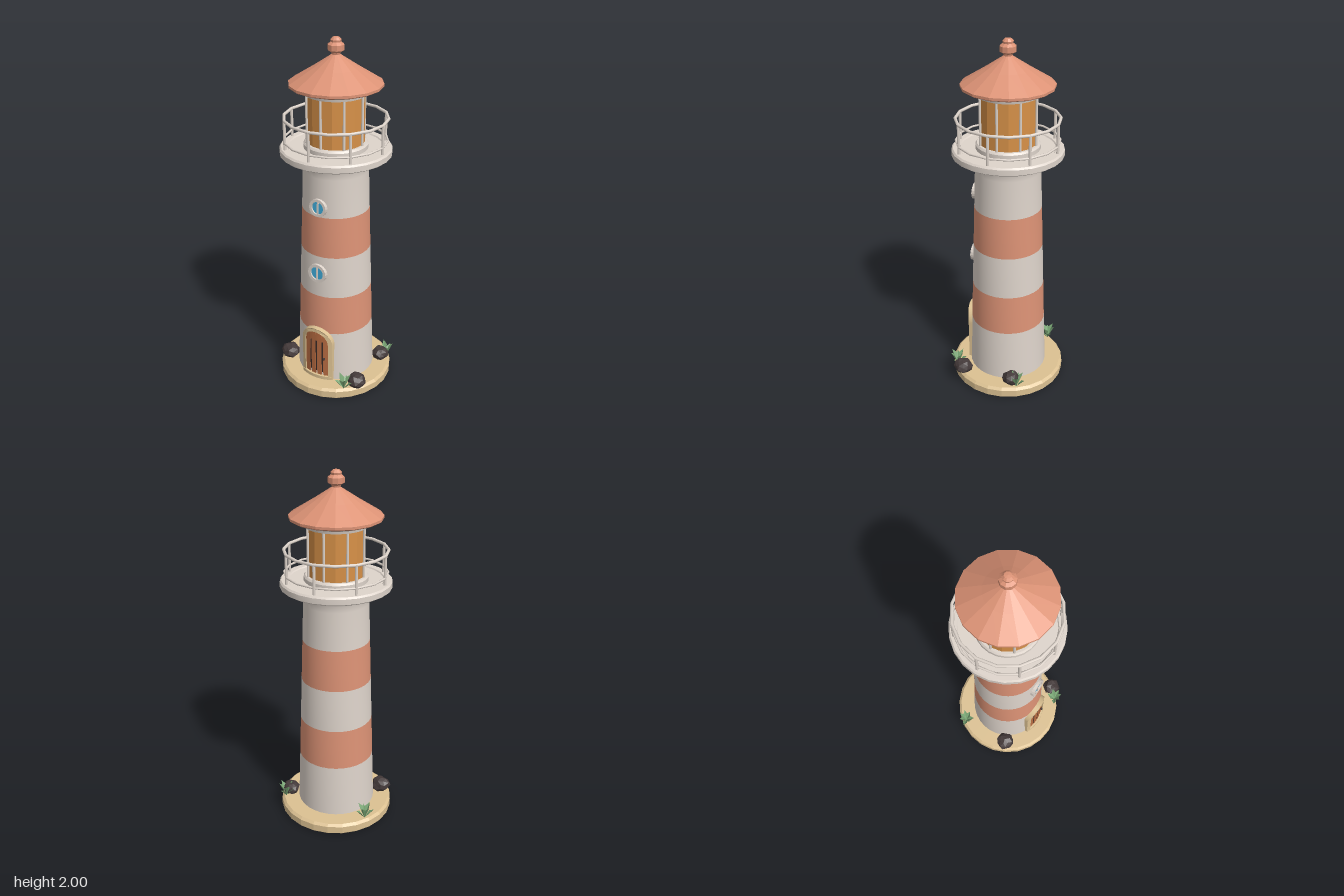
import * as THREE from 'three';
import { toCreasedNormals } from 'three/addons/utils/BufferGeometryUtils.js';

const mat = (name, color, side = THREE.FrontSide) => {
  const m = new THREE.MeshStandardMaterial({ color, side });
  m.name = name;
  return m;
};

const flat = (g) => {
  const f = g.index ? g.toNonIndexed() : g;
  f.computeVertexNormals();
  return f;
};

// Lathe from [radius, height] pairs, bottom to top
const lathe = (pts, sides) =>
  new THREE.LatheGeometry(pts.map(([r, y]) => new THREE.Vector2(r, y)), sides);
const smoothLathe = (pts, sides) => toCreasedNormals(lathe(pts, sides), 0.45);

const towerRadius = (y) => 0.222 - 0.036 * (y - 0.065);

// Wraps a flat panel around the tower wall
function wrap(g, R = 0.212) {
  const p = g.attributes.position;
  for (let i = 0; i < p.count; i++) {
    const x = p.getX(i);
    p.setZ(i, p.getZ(i) + Math.sqrt(R * R - x * x));
  }
  return flat(g);
}

function archPath(Type, w, y0, yc) {
  const s = new Type();
  s.moveTo(-w, y0);
  s.lineTo(w, y0);
  s.lineTo(w, yc);
  s.absarc(0, yc, w, 0, Math.PI, false);
  s.lineTo(-w, y0);
  return s;
}

// Folded kite-shaped leaf pointing along +z
function leafGeometry(len, rise, w) {
  const g = new THREE.BufferGeometry();
  g.setAttribute('position', new THREE.Float32BufferAttribute([
    0, 0, 0, -w, rise * 0.75, len * 0.5, 0, rise * 0.55, len * 0.55,
    w, rise * 0.75, len * 0.5, 0, rise, len], 3));
  g.setIndex([0, 2, 1, 0, 3, 2, 1, 2, 4, 2, 3, 4]);
  return flat(g);
}

export function createModel() {
  const white = mat('warm white', 0xded4cb);
  const coral = mat('coral', 0xdd9376);
  const sand = mat('sand stone', 0xdcc192);
  const amber = mat('amber glass', 0xd79148);
  const blue = mat('blue glass', 0x3fa9d6);
  const wood = mat('door wood', 0xb86c42);
  const dark = mat('dark iron', 0x3a2b27);
  const stone = mat('dark rock', 0x453b3b);
  const green = mat('leaf green', 0x7ba876, THREE.DoubleSide);

  const model = new THREE.Group();
  model.name = 'lighthouse';
  const add = (name, geo, material, parent = model) => {
    const m = new THREE.Mesh(geo, material);
    m.name = name;
    parent.add(m);
    return m;
  };
  const group = (name, parent = model) => {
    const g = new THREE.Group();
    g.name = name;
    parent.add(g);
    return g;
  };

  // Foundation
  add('foundation', flat(lathe([[0, 0], [0.315, 0], [0.325, 0.01], [0.325, 0.05],
    [0.311, 0.063], [0, 0.065]], 24)), sand);

  // Striped tower
  const tower = group('tower');
  const levels = [0.06, 0.37, 0.605, 0.85, 1.085, 1.3];
  for (let i = 0; i < 5; i++) {
    const pts = [levels[i], levels[i + 1]].map((y) => [towerRadius(y), y]);
    if (i === 4) pts.push([0.178, 1.335], [0.186, 1.355], [0.2, 1.37]);
    add(i % 2 ? 'towerStripe' : 'towerWall', smoothLathe(pts, 32), i % 2 ? coral : white, tower);
  }

  // Gallery deck
  add('galleryDeck', smoothLathe([[0.17, 1.352], [0.2, 1.354], [0.287, 1.384], [0.299, 1.392],
    [0.299, 1.421], [0.291, 1.43], [0.257, 1.43], [0.252, 1.424], [0, 1.424]], 24), white);

  // Railing
  const railing = group('railing');
  const railR = 0.274;
  for (const [y, r] of [[1.585, 0.0085], [1.465, 0.006]]) {
    const rail = add('rail', new THREE.TorusGeometry(railR, r, 8, 16), white, railing);
    rail.rotation.x = Math.PI / 2;
    rail.position.y = y;
  }
  for (let i = 0; i < 8; i++) {
    const a = (i * Math.PI) / 4;
    const post = add('railPost', new THREE.CylinderGeometry(0.008, 0.008, 0.165, 8), white, railing);
    post.position.set(Math.sin(a) * railR, 1.507, Math.cos(a) * railR);
  }

  // Lantern room
  const lantern = group('lanternRoom');
  add('lanternGlass', flat(lathe([[0.152, 1.44], [0.152, 1.73]], 16)), amber, lantern);
  add('lanternBase', smoothLathe([[0.172, 1.42], [0.172, 1.446], [0.164, 1.456], [0.15, 1.456]], 24), white, lantern);
  add('lanternTopRing', smoothLathe([[0.148, 1.715], [0.165, 1.715], [0.168, 1.728],
    [0.183, 1.745], [0.183, 1.758]], 24), white, lantern);
  for (let i = 0; i < 8; i++) {
    const a = (i * Math.PI) / 4;
    const bar = add('lanternBar', new THREE.CylinderGeometry(0.007, 0.007, 0.28, 8), white, lantern);
    bar.position.set(Math.sin(a) * 0.156, 1.585, Math.cos(a) * 0.156);
  }

  // Roof and finial
  add('roof', flat(lathe([[0, 1.757], [0.235, 1.75], [0.246, 1.757], [0.246, 1.77],
    [0.12, 1.848], [0.02, 1.914], [0, 1.92]], 16)), coral);
  add('finial', flat(lathe([[0.02, 1.905], [0.024, 1.922], [0.043, 1.934], [0.043, 1.962],
    [0.027, 1.975], [0.029, 1.986], [0.018, 1.998], [0, 2]], 10)), coral);

  // Arched door
  const door = group('door');
  const archY = 0.305;
  const frame = archPath(THREE.Shape, 0.098, 0.066, archY);
  frame.holes.push(archPath(THREE.Path, 0.075, 0.085, archY));
  const frameGeo = new THREE.ExtrudeGeometry(frame, { depth: 0.05, bevelEnabled: false, curveSegments: 16 });
  add('doorFrame', wrap(frameGeo.translate(0, 0, -0.025)), sand, door);
  add('doorSill', wrap(new THREE.BoxGeometry(0.19, 0.02, 0.05, 10, 1, 1).translate(0, 0.075, 0.002)), sand, door);
  for (let i = 0; i < 4; i++) {
    const x0 = -0.076 + i * 0.038 + (i ? 0.005 : 0);
    const x1 = -0.076 + (i + 1) * 0.038 - (i < 3 ? 0.005 : 0);
    const plank = new THREE.Shape();
    plank.moveTo(x0, 0.08);
    plank.lineTo(x1, 0.08);
    for (let k = 0; k <= 4; k++) {
      const x = x1 + ((x0 - x1) * k) / 4;
      plank.lineTo(x, archY + Math.sqrt(Math.max(0, 0.0767 ** 2 - x * x)));
    }
    const geo = new THREE.ExtrudeGeometry(plank, { depth: 0.035, bevelEnabled: false });
    add('doorPlank', wrap(geo.translate(0, 0, -0.02)), wood, door);
  }
  for (const x of [-0.038, 0, 0.038]) {
    add('doorGap', wrap(new THREE.BoxGeometry(0.011, 0.22, 0.008).translate(x, 0.215, 0.0085)), dark, door);
    add('doorGapTop', wrap(new THREE.BoxGeometry(0.011, 0.06, 0.02).translate(x, 0.345, 0.004)), wood, door);
  }
  const knob = add('doorKnob', new THREE.SphereGeometry(0.008, 8, 6), dark, door);
  knob.position.set(0.05, 0.205, 0.227);

  // Round windows
  for (const [y, r] of [[0.75, 0.055], [1.14, 0.05]]) {
    const win = group('roundWindow');
    win.position.set(0, y, towerRadius(y));
    win.rotation.x = -0.036;
    const s = new THREE.Shape().absarc(0, 0, r, 0, Math.PI * 2);
    s.holes.push(new THREE.Path().absarc(0, 0, r * 0.7, 0, Math.PI * 2));
    const ring = new THREE.ExtrudeGeometry(s, { depth: 0.03, bevelEnabled: false, curveSegments: 10 });
    add('windowRing', ring.translate(0, 0, -0.016), white, win);
    add('windowGlass', new THREE.CircleGeometry(r * 0.72, 20).translate(0, 0, 0.005), blue, win);
    add('windowBar', new THREE.BoxGeometry(0.008, r * 1.42, 0.008).translate(0, 0, 0.008), white, win);
  }

  // Rocks
  const rocks = [[-0.238, 0.13, 0.053, 0.3], [0.243, 0.187, 0.052, 1.4], [0.243, -0.115, 0.048, 2.5]];
  for (const [x, z, r, turn] of rocks) {
    const geo = new THREE.IcosahedronGeometry(1, 1);
    const p = geo.attributes.position;
    const v = new THREE.Vector3();
    for (let i = 0; i < p.count; i++) {
      v.fromBufferAttribute(p, i);
      v.multiplyScalar(1 + 0.1 * Math.sin(5 * v.x + 3 * v.y + 7 * v.z + turn));
      p.setXYZ(i, v.x * r, Math.max(v.y, -0.8) * r * 0.85, v.z * r);
    }
    const rock = add('rock', flat(geo), stone);
    rock.position.set(x, 0.103, z);
    rock.rotation.y = turn;
  }

  // Leafy plants
  for (const [x, z] of [[0.192, 0.245], [-0.25, -0.165], [0.258, -0.152]]) {
    const plant = group('plant');
    plant.position.set(x, 0.063, z);
    plant.rotation.y = Math.atan2(x, z);
    for (let i = 0; i < 7; i++) {
      const len = 0.042 + 0.01 * (i % 2);
      const leaf = add('leaf', leafGeometry(len, i % 2 ? 0.06 : 0.088, 0.015), green, plant);
      leaf.rotation.y = (i * Math.PI * 2) / 7;
    }
  }

  return model;
}
